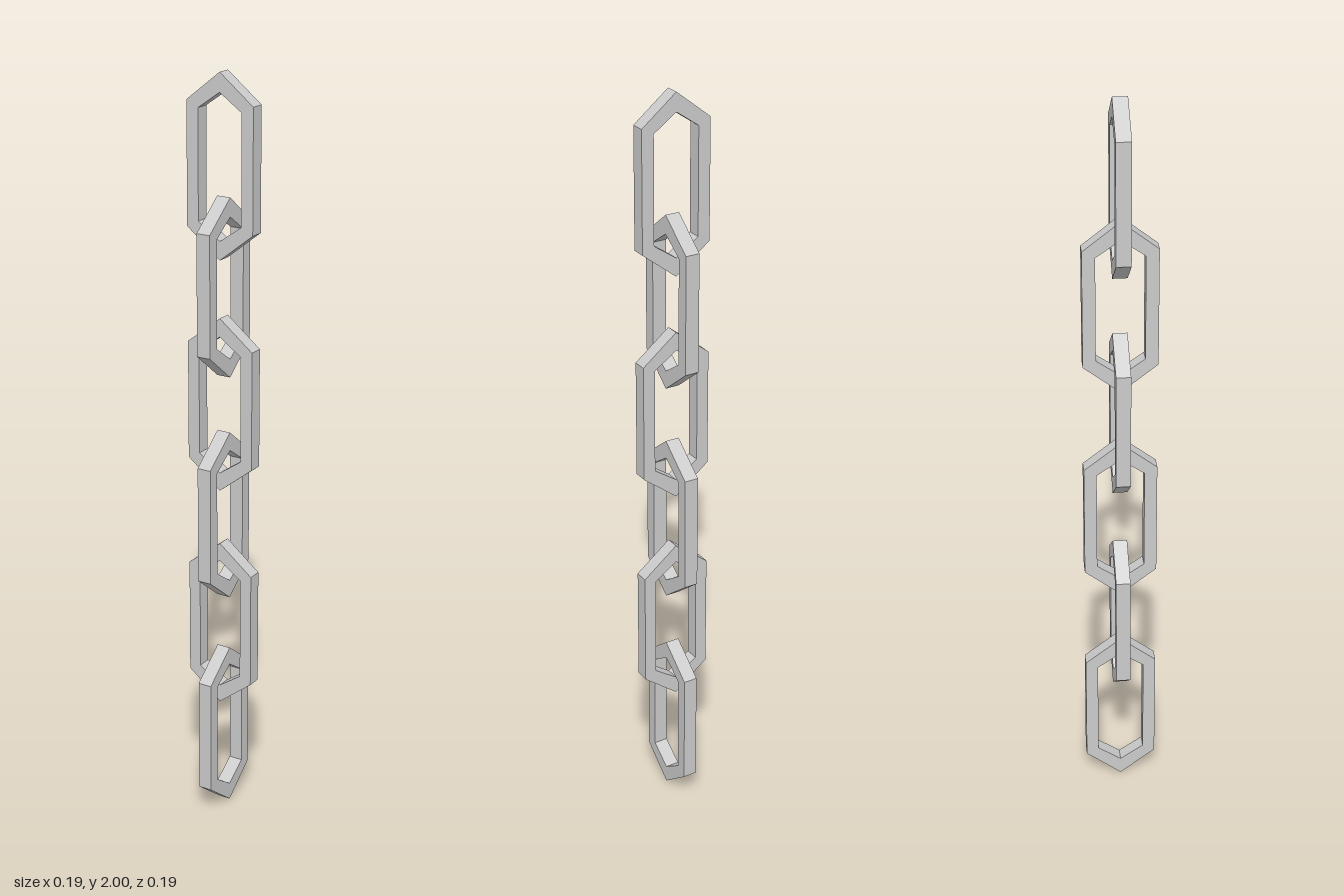
import * as THREE from 'three';

const LINKS = 6;
const HEIGHT = 0.465;
const PITCH = (2 - HEIGHT) / (LINKS - 1);
const DEPTH = 0.038;

// Six-sided outline: vertical sides with a point at the top and bottom
function hexagon(PathType, halfWidth, shoulder, tip) {
  return new PathType([
    [0, -tip], [halfWidth, -shoulder], [halfWidth, shoulder],
    [0, tip], [-halfWidth, shoulder], [-halfWidth, -shoulder],
  ].map(([x, y]) => new THREE.Vector2(x, y)));
}

// Flat link centred on the origin
function linkGeometry() {
  const half = HEIGHT / 2;
  const shape = hexagon(THREE.Shape, 0.095, half - 0.075, half);
  shape.holes.push(hexagon(THREE.Path, 0.062, half - 0.092, half - 0.049));
  const geometry = new THREE.ExtrudeGeometry(shape, { depth: DEPTH, bevelEnabled: false });
  return geometry.translate(0, 0, -DEPTH / 2);
}

export function createModel() {
  const chain = new THREE.Group();
  chain.name = 'chain';
  const material = new THREE.MeshStandardMaterial({ color: 0xcccccc, flatShading: true });
  const geometry = linkGeometry();

  // Links alternate by a quarter turn, the lowest one seen edge-on from the front
  for (let i = 0; i < LINKS; i++) {
    const link = new THREE.Mesh(geometry, material);
    link.name = `link${i + 1}`;
    link.position.y = HEIGHT / 2 + i * PITCH;
    link.rotation.y = i % 2 === 0 ? Math.PI / 2 : 0;
    chain.add(link);
  }
  return chain;
}
